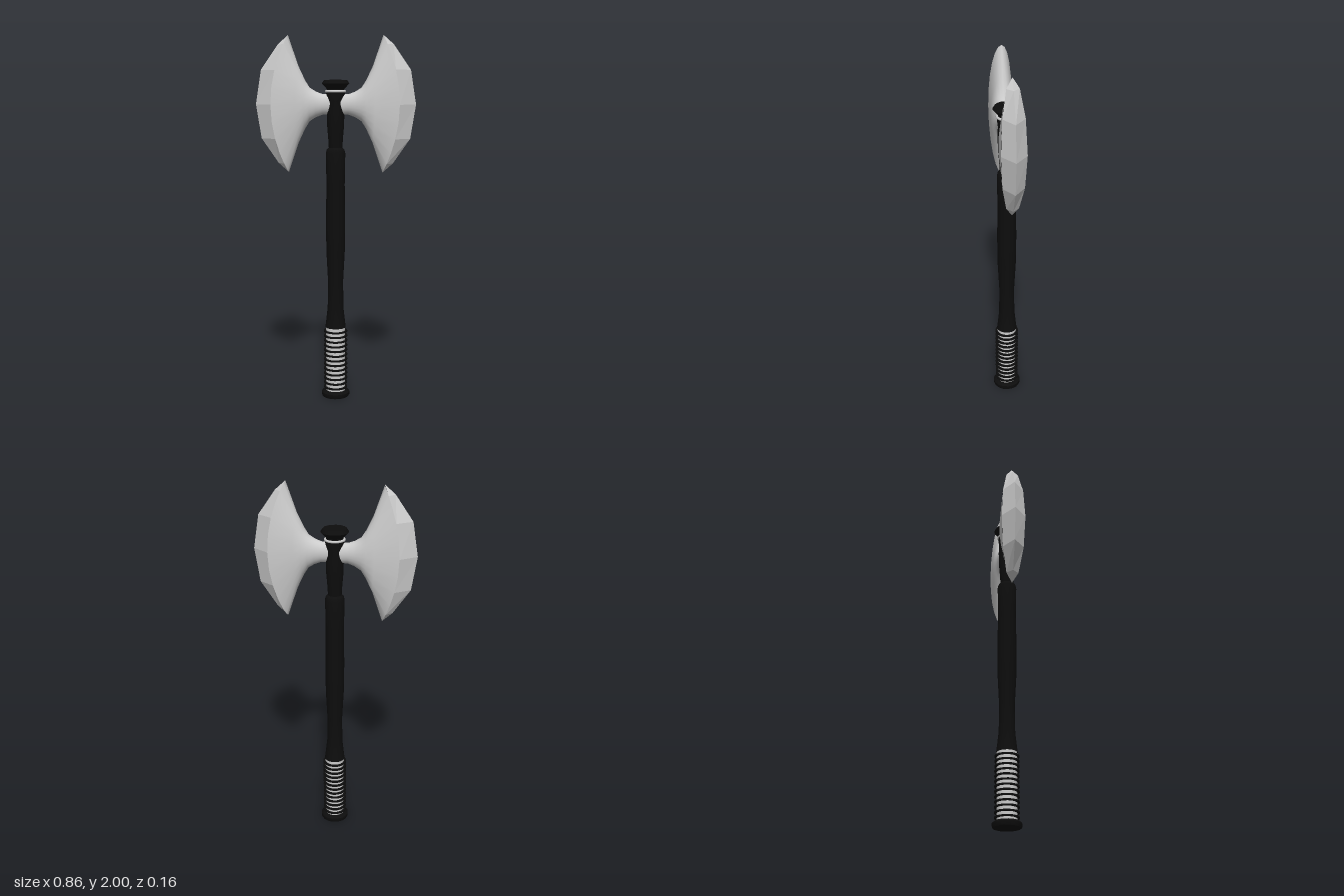
import * as THREE from 'three';
import { toCreasedNormals } from 'three/addons/utils/BufferGeometryUtils.js';

const black = new THREE.MeshStandardMaterial({ color: 0x0d0d0d });
black.name = 'black';
const silver = new THREE.MeshStandardMaterial({ color: 0xcccccc });
silver.name = 'silver';

function addMesh(parent, name, geometry, material) {
  const mesh = new THREE.Mesh(geometry, material);
  mesh.name = name;
  parent.add(mesh);
  return mesh;
}

// Turned part from [radius, height] pairs, bottom to top
function turned(profile) {
  const points = profile.map(([r, y]) => new THREE.Vector2(r, y));
  return toCreasedNormals(new THREE.LatheGeometry(points, 16), 0.6);
}

// Skin over oval rings along x; each ring is swept back by `bend` towards its tips
function loft(stations, sides = 12) {
  const positions = [];
  const index = [];
  stations.forEach(({ x, h, d, bend = 0, power = 2 }, i) => {
    for (let j = 0; j < sides; j++) {
      const a = (j / sides) * Math.PI * 2;
      const s = Math.sin(a);
      positions.push(x - bend * Math.pow(Math.abs(s), power), h * s, d * Math.cos(a));
      if (i === stations.length - 1) continue;
      const k = (j + 1) % sides;
      const p = i * sides;
      const q = p + sides;
      index.push(p + j, q + j, q + k, p + j, q + k, p + k);
    }
  });
  const geometry = new THREE.BufferGeometry();
  geometry.setAttribute('position', new THREE.Float32BufferAttribute(positions, 3));
  geometry.setIndex(index);
  return geometry;
}

function createBlade(name) {
  const blade = new THREE.Group();
  blade.name = name;
  const ridge = { x: 0.345, h: 0.367, d: 0.065, bend: 0.09 };
  const edge = { x: 0.432, h: 0.367, d: 0, bend: 0.177, power: 2.6 };

  // Flared body, smooth from the neck to the ridge
  const body = loft([
    { x: 0.02, h: 0.055, d: 0.036 },
    { x: 0.07, h: 0.055, d: 0.036 },
    { x: 0.105, h: 0.068, d: 0.042 },
    { x: 0.14, h: 0.09, d: 0.05 },
    { x: 0.17, h: 0.13, d: 0.059, bend: 0.005 },
    { x: 0.215, h: 0.205, d: 0.065, bend: 0.015 },
    ridge,
  ], 24);
  body.computeVertexNormals();
  addMesh(blade, 'bladeBody', body, silver);

  // Faceted bevel from the ridge to the cutting edge
  const bevel = loft([ridge, edge]).toNonIndexed();
  bevel.computeVertexNormals();
  addMesh(blade, 'bladeBevel', bevel, silver);

  blade.position.y = 1.633;
  return blade;
}

export function createModel() {
  const axe = new THREE.Group();
  axe.name = 'doubleAxe';

  addMesh(axe, 'pommel', turned([
    [0, 0], [0.074, 0], [0.078, 0.008], [0.078, 0.024], [0.066, 0.034], [0, 0.034],
  ]), black);

  // Ribbed grip
  const grip = new THREE.Group();
  grip.name = 'grip';
  axe.add(grip);
  addMesh(grip, 'gripCore', turned([[0.054, 0.03], [0.054, 0.4]]), silver);
  const ringCount = 13;
  for (let i = 0; i < ringCount; i++) {
    const ring = addMesh(grip, 'gripRing', new THREE.CylinderGeometry(0.066, 0.066, 0.008, 16), black);
    ring.position.y = 0.052 + i * 0.027;
  }

  // Shaft, stepping in to the neck that holds the blades
  addMesh(axe, 'shaft', turned([
    [0, 0.398], [0.057, 0.398], [0.053, 0.43], [0.044, 0.51], [0.042, 0.66],
    [0.051, 0.83], [0.053, 1.0], [0.05, 1.2], [0.053, 1.37], [0.048, 1.39],
    [0.037, 1.4], [0.04, 1.45], [0.046, 1.52], [0.048, 1.6], [0.046, 1.65],
    [0.051, 1.69], [0.046, 1.71], [0.046, 1.722],
  ]), black);

  // Collar and cap
  const collar = addMesh(axe, 'collar', new THREE.TorusGeometry(0.05, 0.007, 8, 24), silver);
  collar.rotation.x = Math.PI / 2;
  collar.position.y = 1.703;
  addMesh(axe, 'cap', turned([
    [0, 1.715], [0.047, 1.715], [0.074, 1.745], [0.062, 1.763], [0, 1.765],
  ]), black);

  // Twin blades
  axe.add(createBlade('leftBlade'));
  const right = createBlade('rightBlade');
  right.rotation.y = Math.PI;
  axe.add(right);

  return axe;
}
